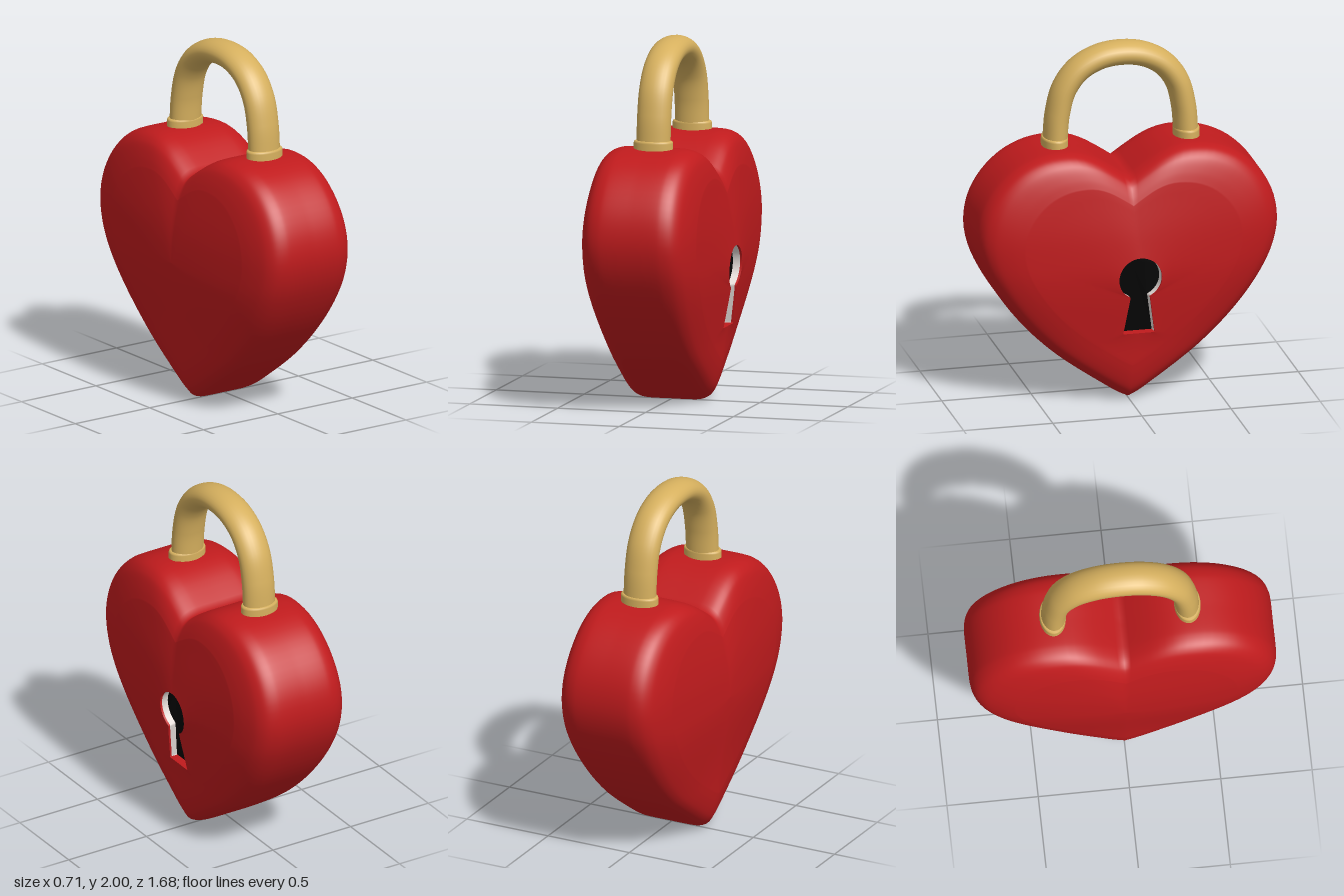
import * as THREE from 'three';

const { smoothstep } = THREE.MathUtils;

const material = (name, color, side = THREE.FrontSide) => {
  const m = new THREE.MeshStandardMaterial({ color, side });
  m.name = name;
  return m;
};
const vectors = pairs => pairs.map(([a, b]) => new THREE.Vector2(a, b));

// Mirrors a half outline (bottom centre to top centre) into a closed loop
function mirrorLoop(half, offset = 0) {
  const left = half.slice(1, -1).reverse().map(p => new THREE.Vector2(-p.x, p.y));
  return [...half, ...left].map(p => new THREE.Vector2(p.x + offset, p.y));
}

// The body is thickest at mid height and thins toward the tip and the lobes
const taper = y => 0.9 + 0.1 * smoothstep(y, 0.3, 0.8) - 0.04 * smoothstep(y, 0.95, 1.35);

// Bulge of the faces: s is 0 at the middle and 1 at the rim
const dome = s => 0.356 - 0.066 * s * s;

// Joins closed loops of points (across, up, out)
function loft(loops) {
  const n = loops[0].length;
  const positions = [];
  const index = [];
  loops.forEach((loop, i) => {
    loop.forEach((p, j) => {
      positions.push(p.z * taper(p.y), p.y, -p.x);
      if (i === loops.length - 1) return;
      const a = i * n + j, b = i * n + (j + 1) % n;
      index.push(a, b, a + n, b, b + n, a + n);
    });
  });
  const geometry = new THREE.BufferGeometry();
  geometry.setAttribute('position', new THREE.Float32BufferAttribute(positions, 3));
  geometry.setIndex(index);
  geometry.computeVertexNormals();
  return geometry;
}

export function createModel() {
  const group = new THREE.Group();
  const red = material('red', 0xc01b1d);
  const gold = material('gold', 0xd6b05e);
  const black = material('black', 0x040404);
  const pale = material('pale grey', 0xe4dcd8, THREE.DoubleSide);

  const add = (name, geometry, mat) => {
    const mesh = new THREE.Mesh(geometry, mat);
    mesh.name = name;
    group.add(mesh);
  };

  // Heart outline
  const heartHalf = new THREE.SplineCurve(vectors([
    [0, 0], [0.06, 0.03], [0.15, 0.09], [0.3, 0.195], [0.42, 0.29], [0.54, 0.405], [0.65, 0.535],
    [0.74, 0.67], [0.808, 0.81], [0.839, 0.945], [0.83, 1.07], [0.79, 1.18], [0.72, 1.28],
    [0.62, 1.365], [0.5, 1.418], [0.38, 1.436], [0.28, 1.43], [0.18, 1.395], [0.08, 1.335], [0, 1.28],
  ]));
  const heart = mirrorLoop(heartHalf.getSpacedPoints(56));
  const ring = (s, x) => heart.map(p => new THREE.Vector3(p.x * s, 0.8 + (p.y - 0.8) * s, x));

  // Keyhole outline: flat foot, flared stem and round head, as many points as the heart
  const [foot, corner, neck] = vectors([[0, 0.41], [0.088, 0.41], [0.0544, 0.63]]);
  const keyhole = mirrorLoop([
    ...new THREE.LineCurve(foot, corner).getPoints(8).slice(0, -1),
    ...new THREE.LineCurve(corner, neck).getPoints(20).slice(0, -1),
    ...new THREE.EllipseCurve(0, 0.737, 0.12, 0.12, -1.1, Math.PI / 2).getPoints(28),
  ], 0.03);
  const keyRing = (depth, shift = 0) => keyhole.map(p =>
    new THREE.Vector3(p.x + shift, p.y, dome(Math.max(0, 1 - p.y / 0.8)) - depth));

  // Heart body: rounded rim and gently domed faces, one opening into the keyhole
  const rim = new THREE.SplineCurve(vectors([
    [1, 0], [1, 0.13], [0.993, 0.187], [0.97, 0.234], [0.93, 0.267],
    [0.88, 0.288], [0.8, 0.308], [0.72, dome(0.72)],
  ])).getPoints(32);
  const lip = keyRing(0);
  const loops = [
    ...[0, 0.15, 0.3, 0.45, 0.6].map(s => ring(s, -dome(s))),
    ...[...rim].reverse().map(p => ring(p.x, -p.y)),
    ...rim.slice(1).map(p => ring(p.x, p.y)),
  ];
  const inner = loops.at(-1);
  for (let i = 1; i <= 8; i++) loops.push(inner.map((p, j) => p.clone().lerp(lip[j], i / 8)));
  add('heartBody', loft(loops), red);

  // Keyhole recess: red lip, pale wall, black floor and a red sill at the foot
  const wallTop = keyRing(0.012);
  const floorLoop = keyRing(0.052, -0.005);
  add('keyholeLip', loft([lip, wallTop]), red);
  add('keyholeWall', loft([wallTop, floorLoop]), pale);
  const floor = new THREE.ShapeGeometry(new THREE.Shape(floorLoop.map(p => new THREE.Vector2(p.x, p.y))));
  floor.rotateY(Math.PI / 2);
  const spots = floor.attributes.position;
  for (let i = 0; i < spots.count; i++) {
    const y = spots.getY(i);
    spots.setX(i, (dome(Math.max(0, 1 - y / 0.8)) - 0.052) * taper(y));
  }
  floor.computeVertexNormals();
  add('keyholeFloor', floor, black);
  const sill = new THREE.PlaneGeometry(0.05, 0.174);
  sill.rotateX(-Math.PI / 2);
  sill.translate(lip[0].z * taper(0.41) - 0.026, 0.413, -0.03);
  add('keyholeSill', sill, red);

  // Shackle: an arch with an oval section
  const leg = [[0.368, 1.38], [0.365, 1.48], [0.353, 1.61], [0.316, 1.748], [0.238, 1.853], [0.125, 1.915]];
  const path = [
    ...leg.map(([z, y]) => new THREE.Vector3(0, y, z)),
    new THREE.Vector3(0, 1.933, 0),
    ...leg.map(([z, y]) => new THREE.Vector3(0, y, -z)).reverse(),
  ];
  const shackle = new THREE.TubeGeometry(new THREE.CatmullRomCurve3(path), 72, 0.067, 28);
  shackle.scale(1.42, 1, 1);
  shackle.translate(0.005, 0, 0);
  add('shackle', shackle, gold);

  // Collars where the shackle enters the body
  const collarProfile = vectors([[0.072, 1.38], [0.072, 1.468], [0.07, 1.477], [0.065, 1.481], [0.05, 1.481]]);
  for (const [name, side] of [['frontCollar', 1], ['backCollar', -1]]) {
    const collar = new THREE.LatheGeometry(collarProfile, 36);
    collar.scale(1.53, 1, 1);
    collar.translate(0.005, 0, side * 0.369);
    add(name, collar, gold);
  }

  return group;
}
